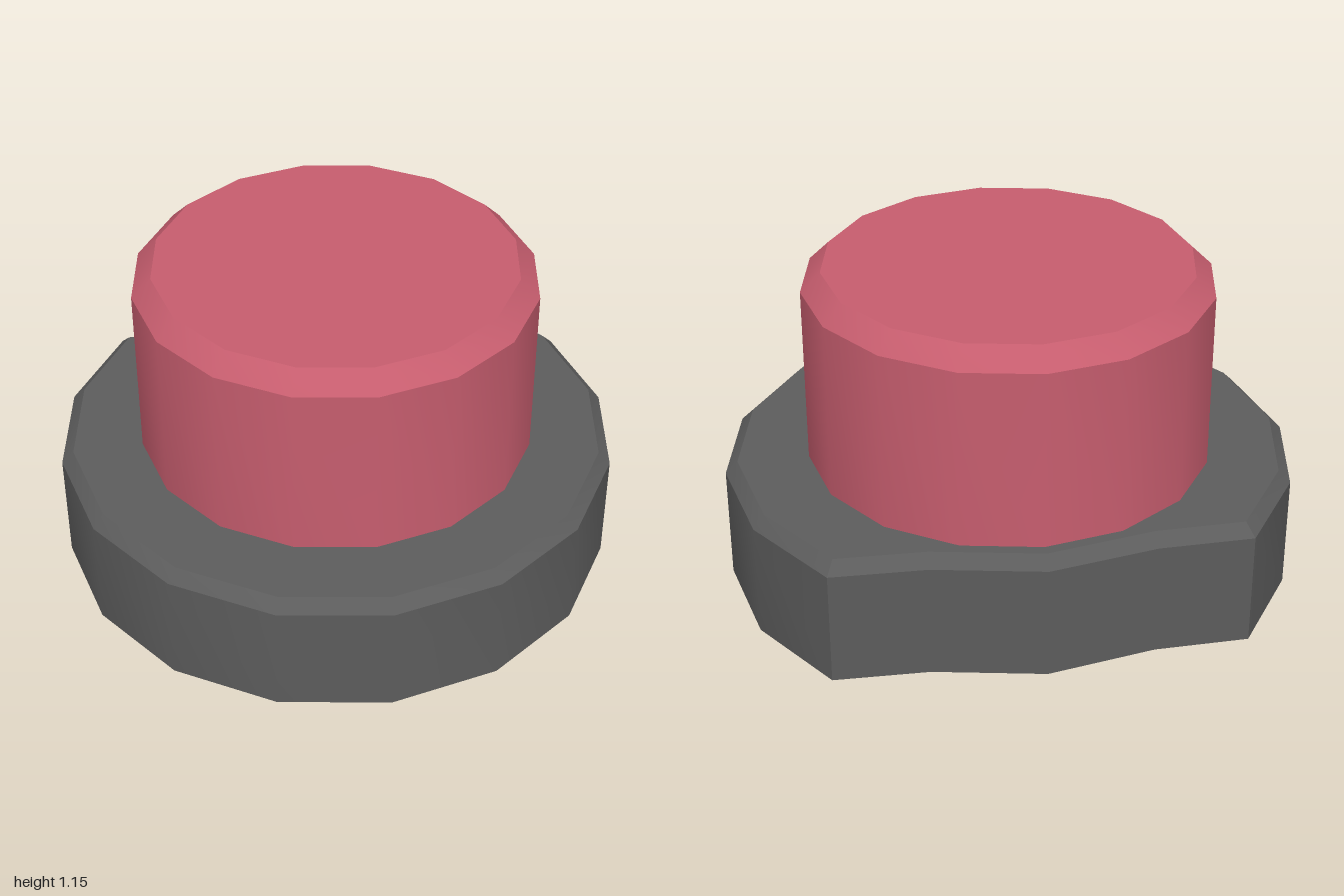
import * as THREE from 'three';
import { toCreasedNormals } from 'three/addons/utils/BufferGeometryUtils.js';

const CENTRE_Z = -0.105;

// Sixteen-sided outline as [x, z] around the origin, starting at +x and turning towards +z
function ring(radius) {
  return Array.from({ length: 16 }, (_, i) => {
    const a = (i / 16) * Math.PI * 2;
    return [radius * Math.cos(a), radius * Math.sin(a)];
  });
}

// Moves every edge of an outline inwards by d, keeping mitred corners
function inset(points, d) {
  const n = points.length;
  const normal = (a, b) => {
    const dx = b[0] - a[0], dz = b[1] - a[1], l = Math.hypot(dx, dz);
    return [-dz / l, dx / l];
  };
  return points.map((p, i) => {
    const u = normal(points[(i + n - 1) % n], p);
    const v = normal(p, points[(i + 1) % n]);
    const k = d / (1 + u[0] * v[0] + u[1] * v[1]);
    return [p[0] + (u[0] + v[0]) * k, p[1] + (u[1] + v[1]) * k];
  });
}

// Upright prism with a chamfered top rim and closed ends
function chamferedPrism(outline, y0, y1, y2, chamfer) {
  const layers = [[outline, y0], [outline, y1], [inset(outline, chamfer), y2]];
  const n = outline.length;
  const pos = [];
  const at = (k, i) => {
    const [pts, y] = layers[k];
    return [pts[i % n][0], y, pts[i % n][1]];
  };
  for (let i = 0; i < n; i++) {
    for (let k = 0; k < 2; k++) {
      const a = at(k, i), b = at(k, i + 1), c = at(k + 1, i + 1), d = at(k + 1, i);
      pos.push(...a, ...c, ...b, ...a, ...d, ...c);
    }
    pos.push(0, y0, 0, ...at(0, i), ...at(0, i + 1));
    pos.push(0, y2, 0, ...at(2, i + 1), ...at(2, i));
  }
  const geometry = new THREE.BufferGeometry();
  geometry.setAttribute('position', new THREE.Float32BufferAttribute(pos, 3));
  return toCreasedNormals(geometry, Math.PI / 6);
}

export function createModel() {
  const darkGrey = new THREE.MeshStandardMaterial({ color: 0x5c5c5c });
  darkGrey.name = 'darkGrey';
  const red = new THREE.MeshStandardMaterial({ color: 0xc65d6e });
  red.name = 'red';

  const group = new THREE.Group();
  group.name = 'pushButton';
  const add = (name, geometry, material) => {
    const mesh = new THREE.Mesh(geometry, material);
    mesh.name = name;
    mesh.position.z = CENTRE_Z;
    group.add(mesh);
  };

  // Base: round outline with a flattened, slightly pointed back
  const outline = ring(1);
  outline[11] = [-0.38, -0.715];
  outline[12] = [0, -0.79];
  outline[13] = [0.38, -0.715];
  add('base', chamferedPrism(outline, 0, 0.405, 0.447, 0.042), darkGrey);

  // Button cap
  add('buttonCap', chamferedPrism(ring(0.708), 0.4, 1.08, 1.148, 0.068), red);

  return group;
}
